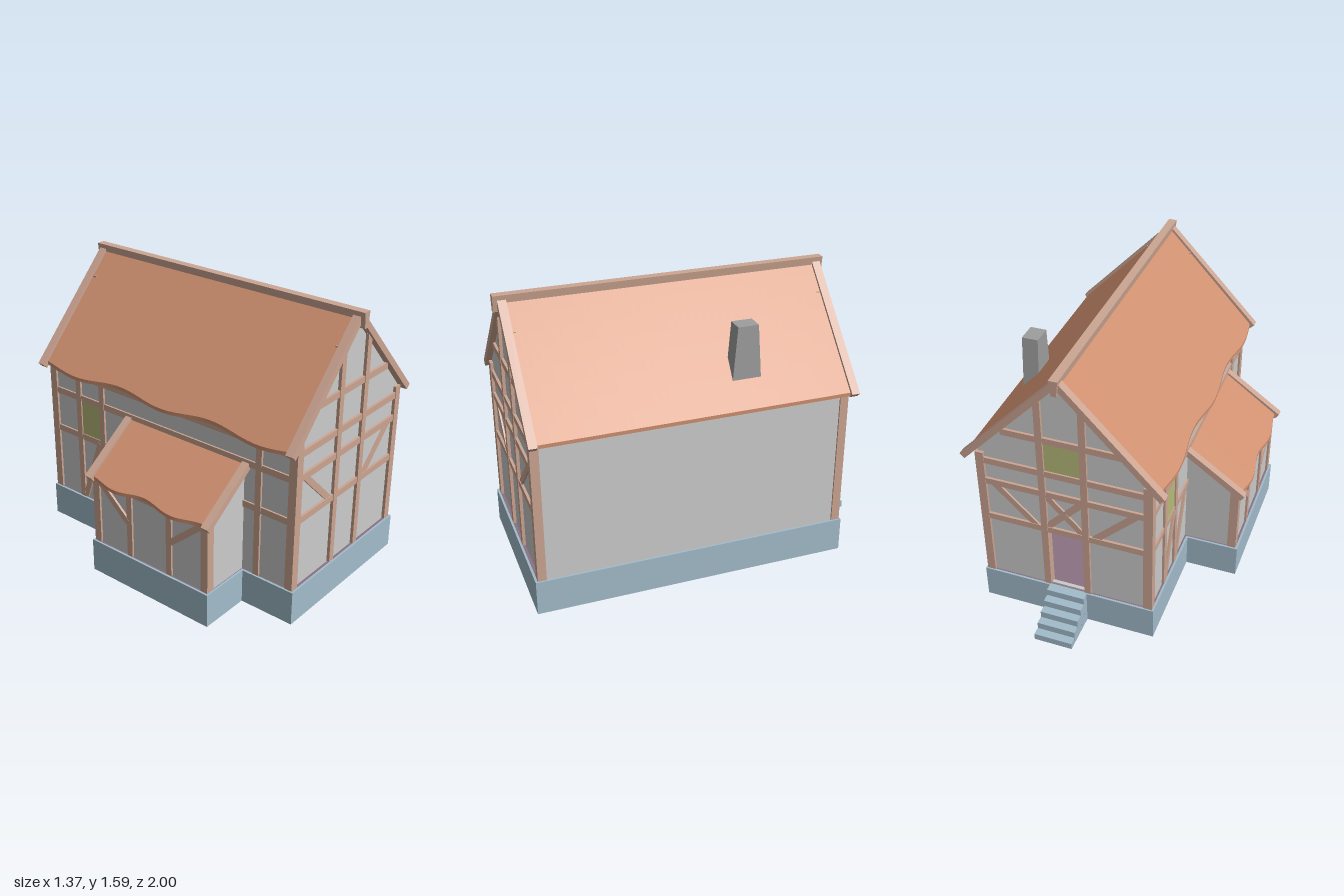
import * as THREE from 'three';

const mat = (color, side = THREE.FrontSide) => new THREE.MeshStandardMaterial({ color, side });

export function createModel() {
  const model = new THREE.Group();
  const wood = mat(0xcca592), plaster = mat(0xcccccc), stone = mat(0xa2bcca);
  const tile = mat(0xcf9070, THREE.DoubleSide), glass = mat(0xb8bc7a);
  const floorMat = mat(0x8a7384), chimneyMat = mat(0x9e9e9e);
  const ridgeX = 0.126, baseTop = 0.195;

  const add = (name, geometry, material, parent = model) => {
    const mesh = new THREE.Mesh(geometry, material);
    mesh.name = name;
    parent.add(mesh);
    return mesh;
  };
  // Box from its lower and upper limits on each axis
  const box = (name, material, x0, x1, y0, y1, z0, z1, parent) => {
    const mesh = add(name, new THREE.BoxGeometry(x1 - x0, y1 - y0, z1 - z0), material, parent);
    mesh.position.set((x0 + x1) / 2, (y0 + y1) / 2, (z0 + z1) / 2);
    return mesh;
  };
  const polygon = pts => new THREE.Shape(pts.map(p => new THREE.Vector2(p[0], p[1])));
  // Outline in x and y, extruded from z0 to z1
  const slab = (name, material, shape, z0, z1, parent) => {
    const geometry = new THREE.ExtrudeGeometry(shape, { depth: z1 - z0, bevelEnabled: false });
    return add(name, geometry.translate(0, 0, z0), material, parent);
  };
  // Slanting timber between two points
  const brace = (a, b, parent, width = 0.036, depth = 0.036) => {
    const from = new THREE.Vector3(...a), to = new THREE.Vector3(...b);
    const mesh = add('brace', new THREE.BoxGeometry(
      from.x === to.x ? depth : width, from.distanceTo(to), from.x === to.x ? width : depth), wood, parent);
    mesh.position.copy(from).add(to).multiplyScalar(0.5);
    mesh.quaternion.setFromUnitVectors(new THREE.Vector3(0, 1, 0), to.sub(from).normalize());
  };

  // Open-bottomed stone plinth following the house and the lean-to
  const outline = d => [
    [-0.37 + d, 0.975 - d], [0.615 - d, 0.975 - d], [0.615 - d, -0.77 + d], [-0.37 + d, -0.77 + d],
    [-0.37 + d, -0.16 + d], [-0.665 + d, -0.16 + d], [-0.665 + d, 0.655 - d], [-0.37 + d, 0.655 - d],
  ].map(([x, z]) => [x, -z]);
  const flat = (name, material, shape, y0, y1) => {
    const geometry = new THREE.ExtrudeGeometry(shape, { depth: y1 - y0, bevelEnabled: false });
    add(name, geometry.rotateX(-Math.PI / 2).translate(0, y0, 0), material);
  };
  const ring = polygon(outline(0));
  ring.holes.push(polygon(outline(0.012)));
  flat('plinth', stone, ring, 0, baseTop);
  flat('floor', floorMat, polygon(outline(0.006)), 0.175, 0.19);

  // Back steps
  for (let i = 0; i < 5; i++) {
    box('step', stone, 0.012, 0.228, 0, 0.195 - i * 0.039, -0.811 - i * 0.0472, -0.765 - i * 0.0472);
  }

  // Plaster walls
  const gable = () => polygon([[-0.345, 0.185], [0.594, 0.185], [0.594, 1.03], [ridgeX, 1.53], [-0.345, 1.04]]);
  slab('frontWall', plaster, gable(), 0.925, 0.945);
  const backShape = gable();
  backShape.holes.push(polygon([[0.01, 0.196], [0.01, 0.59], [0.235, 0.59], [0.235, 0.196]]));
  slab('backWall', plaster, backShape, -0.745, -0.725);
  box('rightWall', plaster, 0.575, 0.597, 0.185, 1.04, -0.735, 0.935);
  box('leftWall', plaster, -0.347, -0.327, 0.185, 1.04, -0.735, 0.935);

  // Timber frame of each gable end
  for (const [name, z0, z1] of [['frontFrame', 0.915, 0.962], ['backFrame', -0.762, -0.715]]) {
    const frame = new THREE.Group();
    frame.name = name;
    model.add(frame);
    const mid = name === 'frontFrame' ? 0.937 : -0.737;
    box('cornerPost', wood, -0.36, -0.31, baseTop, 1.03, z0, z1, frame);
    box('cornerPost', wood, 0.56, 0.606, baseTop, 1.02, z0, z1, frame);
    for (const x of [-0.01, 0.222]) box('post', wood, x, x + 0.037, baseTop, 1.43, z0, z1, frame);
    for (const y of [0.575, 0.817, 0.953]) box('beam', wood, -0.35, 0.6, y, y + 0.037, z0 + 0.003, z1 - 0.003, frame);
    box('collarBeam', wood, -0.2, 0.452, 1.165, 1.202, z0 + 0.003, z1 - 0.003, frame);
    brace([-0.275, 0.83, mid], [-0.035, 0.595, mid], frame);
    brace([0.52, 0.83, mid], [0.28, 0.595, mid], frame);
  }
  brace([0.025, 0.61, -0.737], [0.225, 0.82, -0.737]);
  brace([0.225, 0.61, -0.737], [0.025, 0.82, -0.737], model, 0.036, 0.034);
  box('gableWindow', glass, 0.027, 0.222, 0.99, 1.165, -0.75, -0.73);

  // Timber frame of the left wall
  const side = new THREE.Group();
  side.name = 'leftFrame';
  model.add(side);
  for (const z of [-0.54, -0.36, 0.73]) box('post', wood, -0.36, -0.32, baseTop, 1.0, z - 0.018, z + 0.018, side);
  for (const y of [0.575, 0.817, 0.953]) box('beam', wood, -0.357, -0.32, y, y + 0.037, -0.73, 0.93, side);
  brace([-0.341, 0.2, -0.52], [-0.341, 0.59, -0.385], side);
  brace([-0.341, 0.2, -0.34], [-0.341, 0.59, -0.19], side);
  box('sideWindow', glass, -0.352, -0.335, 0.61, 0.82, -0.525, -0.375, side);

  // Sloping roof skin between two edge points; the left edge may ripple
  const roof = (name, a, b, z0, z1, ripple = () => 0) => {
    const geometry = new THREE.BoxGeometry(1, 1, 1, 8, 1, 40);
    const p = geometry.attributes.position;
    for (let i = 0; i < p.count; i++) {
      const u = p.getX(i) + 0.5, z = z0 + (p.getZ(i) + 0.5) * (z1 - z0);
      const t = u + ripple(z) * Math.pow(1 - u, 4);
      p.setXYZ(i, a[0] + t * (b[0] - a[0]), a[1] + t * (b[1] - a[1]) + (p.getY(i) - 0.5) * 0.02, z);
    }
    geometry.computeVertexNormals();
    add(name, geometry, tile);
  };
  roof('leftRoof', [-0.402, 1.008], [ridgeX, 1.565], -0.75, 0.945, z => -0.022 * Math.cos((z + 0.5) * 10));
  roof('rightRoof', [ridgeX, 1.565], [0.658, 1.008], -0.75, 0.945);
  roof('leanToRoof', [-0.672, 0.598], [-0.345, 0.833], -0.145, 0.64, z => -0.035 * Math.cos((z - 0.03) * 16));

  // Barge boards and ridge beam
  const barge = [
    [-0.428, 1.005], [-0.402, 0.98], [ridgeX, 1.533], [0.654, 0.98], [0.68, 1.005], [ridgeX, 1.583],
  ];
  slab('frontBargeBoard', wood, polygon(barge), 0.932, 0.977);
  slab('backBargeBoard', wood, polygon(barge), -0.785, -0.74);
  slab('ridgeBeam', wood, polygon([[0.112, 1.5], [0.14, 1.5], [0.15, 1.586], [0.102, 1.586]]), -0.8, 1.0);

  // Chimney tapering along z
  const chimney = new THREE.BoxGeometry(0.09, 0.315, 0.16);
  const cp = chimney.attributes.position;
  for (let i = 0; i < cp.count; i++) if (cp.getY(i) > 0) cp.setZ(i, cp.getZ(i) * 0.7);
  chimney.computeVertexNormals();
  add('chimney', chimney, chimneyMat).position.set(0.5, 1.2575, -0.196);

  // Lean-to walls and frame
  const lean = new THREE.Group();
  lean.name = 'leanTo';
  model.add(lean);
  const end = [[-0.64, 0.185], [-0.345, 0.185], [-0.345, 0.82], [-0.64, 0.605]];
  const leanBarge = [[-0.688, 0.605], [-0.666, 0.575], [-0.345, 0.803], [-0.345, 0.846]];
  for (const [wall, post, board] of [[0.615, 0.6, 0.627], [-0.135, -0.15, -0.175]]) {
    slab('endWall', plaster, polygon(end), wall, wall + 0.02, lean);
    box('cornerPost', wood, -0.652, -0.603, baseTop, 0.605, post, post + 0.045, lean);
    slab('bargeBoard', wood, polygon(leanBarge), board, board + 0.043, lean);
  }
  box('outerWall', plaster, -0.64, -0.62, 0.185, 0.605, -0.13, 0.63, lean);
  for (const z of [0.11, 0.385]) box('post', wood, -0.652, -0.615, baseTop, 0.6, z - 0.018, z + 0.018, lean);
  box('topBeam', wood, -0.649, -0.615, 0.565, 0.6, -0.13, 0.63, lean);
  brace([-0.635, 0.585, -0.11], [-0.635, 0.4, 0.1], lean);
  brace([-0.635, 0.585, 0.605], [-0.635, 0.4, 0.395], lean);

  return model;
}
